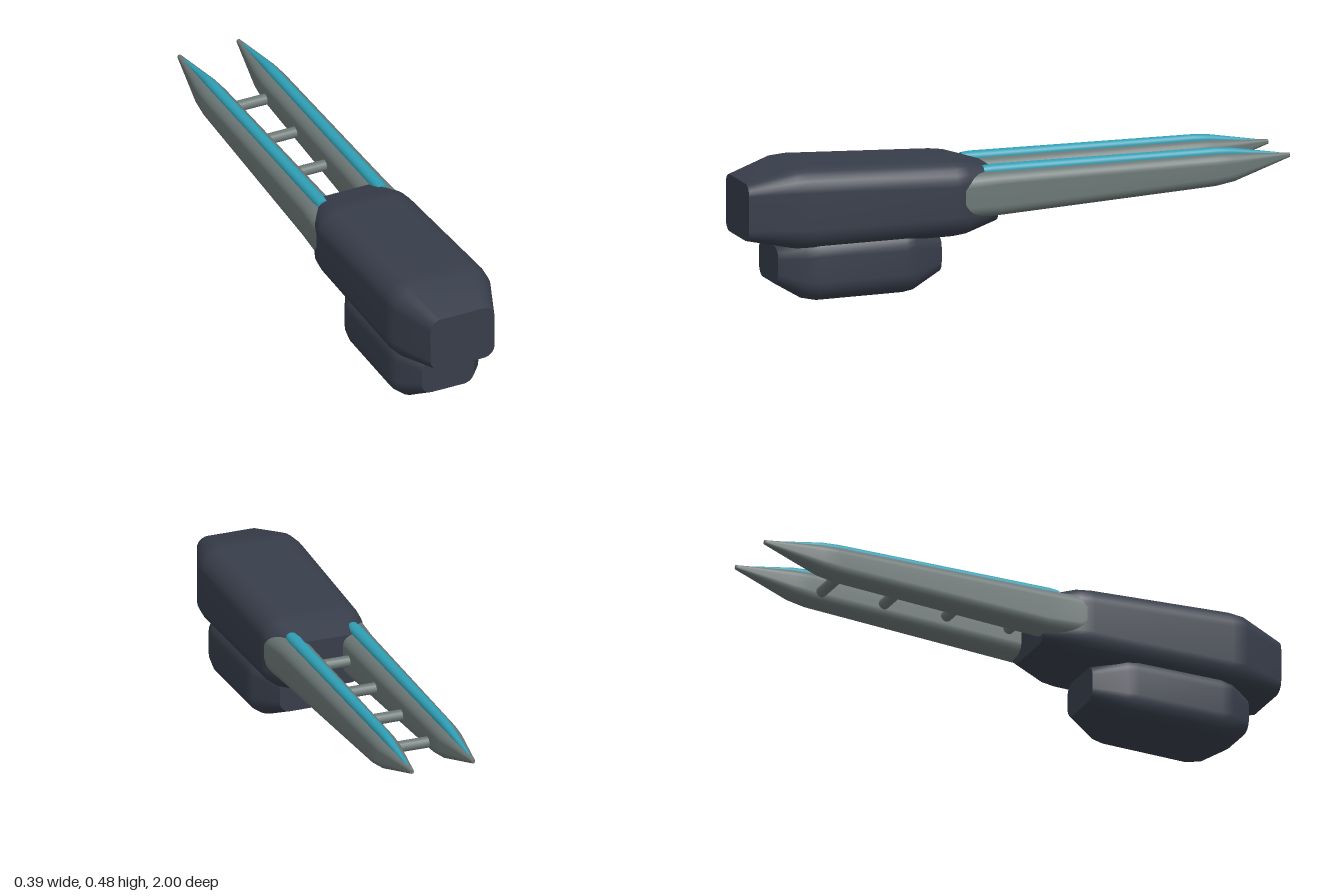
import * as THREE from 'three';

const hullPaint = new THREE.MeshStandardMaterial({ color: 0x373d4a });
hullPaint.name = 'dark slate';
const railMetal = new THREE.MeshStandardMaterial({ color: 0x6b7775 });
railMetal.name = 'grey metal';
const glow = new THREE.MeshStandardMaterial({ color: 0x2f9fb5 });
glow.name = 'cyan';

const CORNER = 6;

// Rounded-rectangle outline, counter-clockwise seen from +z
function outline([z, halfW, bottom, top, radius], cx) {
  const r = Math.min(radius, halfW, (top - bottom) / 2);
  const pts = [];
  const corners = [[1, bottom + r, -0.5], [1, top - r, 0], [-1, top - r, 0.5], [-1, bottom + r, 1]];
  for (const [side, y, start] of corners) {
    for (let i = 0; i <= CORNER; i++) {
      const a = (start + (0.5 * i) / CORNER) * Math.PI;
      pts.push([cx + side * (halfW - r) + r * Math.cos(a), y + r * Math.sin(a), z]);
    }
  }
  return pts;
}

// Skin through sections [z, halfWidth, bottom, top, radius], ordered front to back
function loft(sections, cx = 0) {
  const rings = sections.map((s) => outline(s, cx));
  const n = rings[0].length;
  const pos = rings.flat(2);
  const index = [];
  for (let i = 0; i < rings.length - 1; i++) {
    for (let j = 0; j < n; j++) {
      const k = (j + 1) % n;
      const a = i * n + j, b = a + n, c = (i + 1) * n + k, d = i * n + k;
      index.push(a, b, c, a, c, d);
    }
  }
  // Flat end caps with their own vertices for a crisp rim
  [[rings[0], true], [rings[rings.length - 1], false]].forEach(([ring, front]) => {
    const base = pos.length / 3;
    ring.forEach((p) => pos.push(...p));
    for (let j = 1; j < n - 1; j++) {
      if (front) index.push(base, base + j, base + j + 1);
      else index.push(base, base + j + 1, base + j);
    }
  });
  const g = new THREE.BufferGeometry();
  g.setAttribute('position', new THREE.Float32BufferAttribute(pos, 3));
  g.setIndex(index);
  g.computeVertexNormals();
  return g;
}

export function createModel() {
  const model = new THREE.Group();
  model.name = 'railCannon';
  const add = (name, geometry, material) => {
    const mesh = new THREE.Mesh(geometry, material);
    mesh.name = name;
    model.add(mesh);
    return mesh;
  };

  // Main housing
  add('housing', loft([
    [1.0, 0.124, 0.23, 0.434, 0.04],
    [0.84, 0.188, 0.2, 0.482, 0.075],
    [0.78, 0.194, 0.194, 0.487, 0.08],
    [0.25, 0.187, 0.2, 0.467, 0.08],
    [0.2, 0.181, 0.206, 0.461, 0.075],
    [0.08, 0.13, 0.24, 0.425, 0.045],
  ]), hullPaint);

  // Lower pod
  add('lowerPod', loft([
    [0.885, 0.102, 0.065, 0.198, 0.04],
    [0.8, 0.16, 0.015, 0.235, 0.07],
    [0.75, 0.169, 0.005, 0.245, 0.075],
    [0.43, 0.167, 0.01, 0.245, 0.075],
    [0.39, 0.158, 0.016, 0.24, 0.07],
    [0.28, 0.1, 0.068, 0.198, 0.04],
  ]), hullPaint);

  // Twin rails, each with a glowing strip along its top
  for (const [side, label] of [[1, 'left'], [-1, 'right']]) {
    add(label + 'Rail', loft([
      [0.25, 0.069, 0.29, 0.41, 0.05],
      [0.2, 0.068, 0.265, 0.425, 0.045],
      [0.08, 0.058, 0.268, 0.425, 0.04],
      [-0.72, 0.048, 0.313, 0.427, 0.035],
      [-0.79, 0.043, 0.325, 0.425, 0.032],
      [-1.0, 0.007, 0.394, 0.409, 0.006],
    ], side * 0.115), railMetal);
    add(label + 'Strip', loft([
      [0.135, 0.02, 0.395, 0.444, 0.018],
      [0.1, 0.023, 0.395, 0.447, 0.02],
      [-0.72, 0.019, 0.395, 0.447, 0.018],
      [-0.78, 0.017, 0.395, 0.443, 0.016],
      [-0.96, 0.005, 0.395, 0.413, 0.004],
    ], side * 0.115), glow);
  }

  // Rungs joining the rails
  for (let i = 0; i < 4; i++) {
    const rung = add('rung' + (i + 1), new THREE.CylinderGeometry(0.02, 0.02, 0.2, 16), railMetal);
    rung.rotation.z = Math.PI / 2;
    rung.position.set(0, 0.35, 0.03 - 0.24 * i);
  }
  return model;
}
